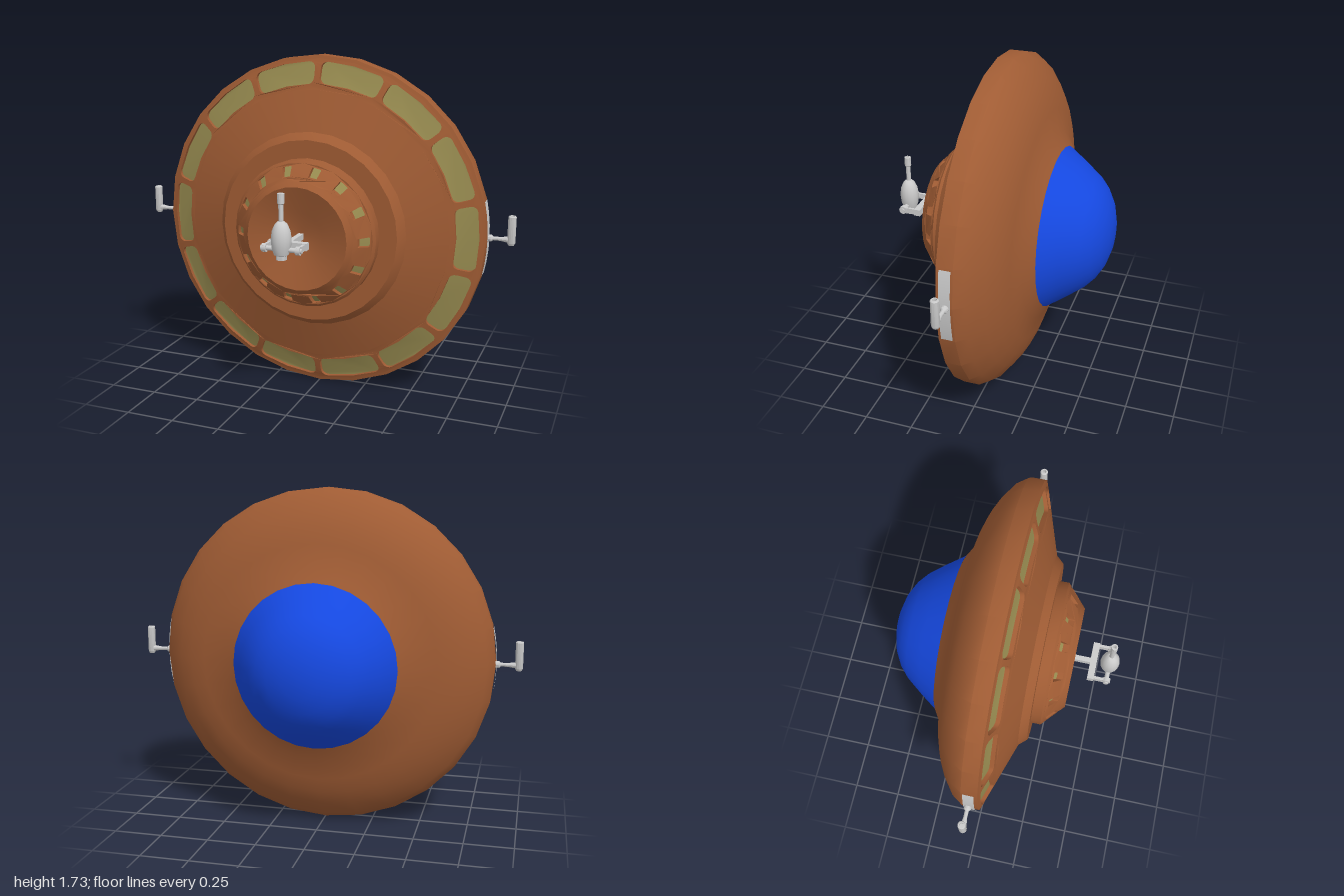
import * as THREE from 'three';
import { toCreasedNormals } from 'three/addons/utils/BufferGeometryUtils.js';

const SIDES = 28, WINDOWS = 14;
const mat = (color) => new THREE.MeshStandardMaterial({ color });
const brown = mat(0xa05c34), blue = mat(0x1548e0), olive = mat(0x978b50), grey = mat(0xcccccc);

function add(parent, name, geometry, material, x = 0, y = 0, z = 0) {
  const mesh = new THREE.Mesh(geometry, material);
  mesh.name = name;
  mesh.position.set(x, y, z);
  parent.add(mesh);
  return mesh;
}

// Lathe from [radius, height] pairs, listed from low to high
function lathe(profile, sides = SIDES, crease = 0.5) {
  const pts = profile.map(([r, h]) => new THREE.Vector2(r, h));
  return toCreasedNormals(new THREE.LatheGeometry(pts, sides), crease);
}
// The same, turned so that its axis points to the front
const frontLathe = (profile, crease) => lathe(profile, SIDES, crease).rotateX(Math.PI / 2);

const polar = (r, a) => new THREE.Vector2(r * Math.sin(a), r * Math.cos(a));
const circlePoints = (r) =>
  Array.from({ length: SIDES }, (_, i) => polar(r, (i / SIDES) * Math.PI * 2));

// Outline of a rounded window bent round the axis
function windowOutline(angle, rIn, rOut, half, corner) {
  const mid = (rIn + rOut) / 2, h = (rOut - rIn) / 2, w = half * mid;
  const pts = [];
  [[1, 1, 0], [-1, 1, 1], [-1, -1, 2], [1, -1, 3]].forEach(([sx, sy, q]) => {
    for (let k = 0; k <= 4; k++) {
      const t = (q + k / 4) * Math.PI / 2;
      const s = sx * (w - corner) + corner * Math.cos(t);
      const r = mid + sy * (h - corner) + corner * Math.sin(t);
      pts.push(polar(r, angle + s / mid));
    }
    // middle of the inner and outer edges
    if (q === 0) pts.push(polar(rOut, angle));
    if (q === 2) pts.push(polar(rIn, angle));
  });
  return pts;
}

// Shifts a flat geometry onto a cone around z
function bendToCone(geometry, coneZ, offset) {
  const p = geometry.attributes.position;
  for (let i = 0; i < p.count; i++) {
    p.setZ(i, p.getZ(i) + coneZ(Math.hypot(p.getX(i), p.getY(i))) - offset);
  }
  return toCreasedNormals(geometry, 0.5);
}

// Conical band with cut-out windows and sunken panes
function windowBand(parent, name, r0, r1, coneZ, depth, rIn, rOut, half, corner) {
  const band = new THREE.Shape(circlePoints(r1));
  band.holes.push(new THREE.Path(circlePoints(r0)));
  const panes = [];
  for (let i = 0; i < WINDOWS; i++) {
    const outline = windowOutline(((i + 0.5) / WINDOWS) * Math.PI * 2, rIn, rOut, half, corner);
    band.holes.push(new THREE.Path(outline));
    panes.push(new THREE.Shape(outline));
  }
  const shell = new THREE.ExtrudeGeometry(band, { depth, bevelEnabled: false });
  add(parent, name + 'Band', bendToCone(shell, coneZ, depth), brown);
  add(parent, name + 'Panes', bendToCone(new THREE.ShapeGeometry(panes), coneZ, depth * 0.75), olive);
}

function cylinder(r0, r1, length, sides = 14) {
  return new THREE.CylinderGeometry(r1, r0, length, sides);
}

// Gun on a yoke in front of the hub
function frontGun() {
  const g = new THREE.Group();
  g.name = 'frontGun';
  add(g, 'mountShaft', new THREE.BoxGeometry(0.026, 0.03, 0.18), grey, 0, 0, 0.36);
  add(g, 'yokeBar', new THREE.BoxGeometry(0.2, 0.035, 0.034), grey, 0, 0, 0.453);
  for (const s of [-1, 1]) {
    add(g, 'yokeArm', new THREE.BoxGeometry(0.014, 0.03, 0.11), grey, s * 0.088, 0, 0.495);
    add(g, 'trunnion', cylinder(0.012, 0.012, 0.11), grey, s * 0.05, 0, 0.535).rotation.z = Math.PI / 2;
    add(g, 'trunnionCap', cylinder(0.021, 0.021, 0.022), grey, s * 0.086, 0, 0.535).rotation.z = Math.PI / 2;
  }
  add(g, 'gunBody', lathe([[0, -0.05], [0.026, -0.05], [0.026, -0.03], [0.036, -0.025], [0.046, 0.01],
    [0.049, 0.05], [0.044, 0.09], [0.03, 0.122], [0.016, 0.135], [0, 0.137]], 16, 0.8), grey, 0, 0, 0.535);
  add(g, 'gunBarrel', lathe([[0.012, 0.12], [0.012, 0.215], [0.017, 0.22], [0.017, 0.268],
    [0.009, 0.27], [0.009, 0.23], [0, 0.23]], 12), grey, 0, 0, 0.535);
  return g;
}

// Small gun on the rim, built on the left
function sideGun(name) {
  const g = new THREE.Group();
  g.name = name;
  const arc = 0.43;
  const plate = new THREE.CylinderGeometry(0.869, 0.869, 0.056, 6, 1, true, Math.PI / 2 - arc / 2, arc);
  const plateMat = grey.clone();
  plateMat.side = THREE.DoubleSide;
  add(g, 'rimPlate', plate.rotateX(Math.PI / 2), plateMat, 0, 0, -0.008);
  const axle = lathe([[0.018, 0.85], [0.018, 0.882], [0.01, 0.89], [0.01, 0.925], [0.016, 0.965], [0, 0.965]], 12);
  add(g, 'axle', axle.rotateZ(-Math.PI / 2), grey, 0, 0, -0.012);
  add(g, 'barrel', lathe([[0, -0.03], [0.014, -0.027], [0.02, -0.015], [0.02, 0.115], [0.016, 0.12],
    [0.011, 0.12], [0.011, 0.09], [0, 0.09]], 14), grey, 0.979, 0, -0.012);
  return g;
}

export function createModel() {
  const model = new THREE.Group();
  model.name = 'flyingSaucer';
  const craft = new THREE.Group();
  craft.name = 'craft';
  craft.position.y = 0.868;
  model.add(craft);

  const hullZ = (r) => 0.035 + (0.865 - r) * 0.3425;
  const hubZ = (r) => 0.25 + (0.375 - r) * 0.913;

  // Hull back and rim
  add(craft, 'hullBack', frontLathe([[0.405, -0.296], [0.42, -0.29], [0.485, -0.25], [0.6, -0.222], [0.68, -0.195],
    [0.75, -0.158], [0.83, -0.098], [0.866, -0.045], [0.866, 0.035], [0.85, hullZ(0.85)]], 0.6), brown);
  windowBand(craft, 'hullWindow', 0.7, 0.85, hullZ, 0.028, 0.725, 0.835, 0.205, 0.032);
  // Hull front and hub
  add(craft, 'hullFront', frontLathe([[0.7, hullZ(0.7)], [0.5, 0.16], [0.465, 0.2], [0.375, 0.2],
    [0.375, 0.25], [0.362, hubZ(0.362)]], 0.4), brown);
  windowBand(craft, 'hubWindow', 0.285, 0.362, hubZ, 0.04, 0.302, 0.35, 0.07, 0.004);
  add(craft, 'hubFace', frontLathe([[0.285, hubZ(0.285)], [0.26, 0.355], [0.125, 0.315], [0, 0.285]], 0.4), brown);

  // Cockpit dome
  add(craft, 'dome', frontLathe([[0, -0.582], [0.09, -0.576], [0.17, -0.552], [0.235, -0.515],
    [0.285, -0.47], [0.35, -0.385], [0.416, -0.292]], 0.8), blue);

  craft.add(frontGun());
  craft.add(sideGun('leftGun'));
  const right = sideGun('rightGun');
  right.scale.x = -1;
  craft.add(right);
  return model;
}
